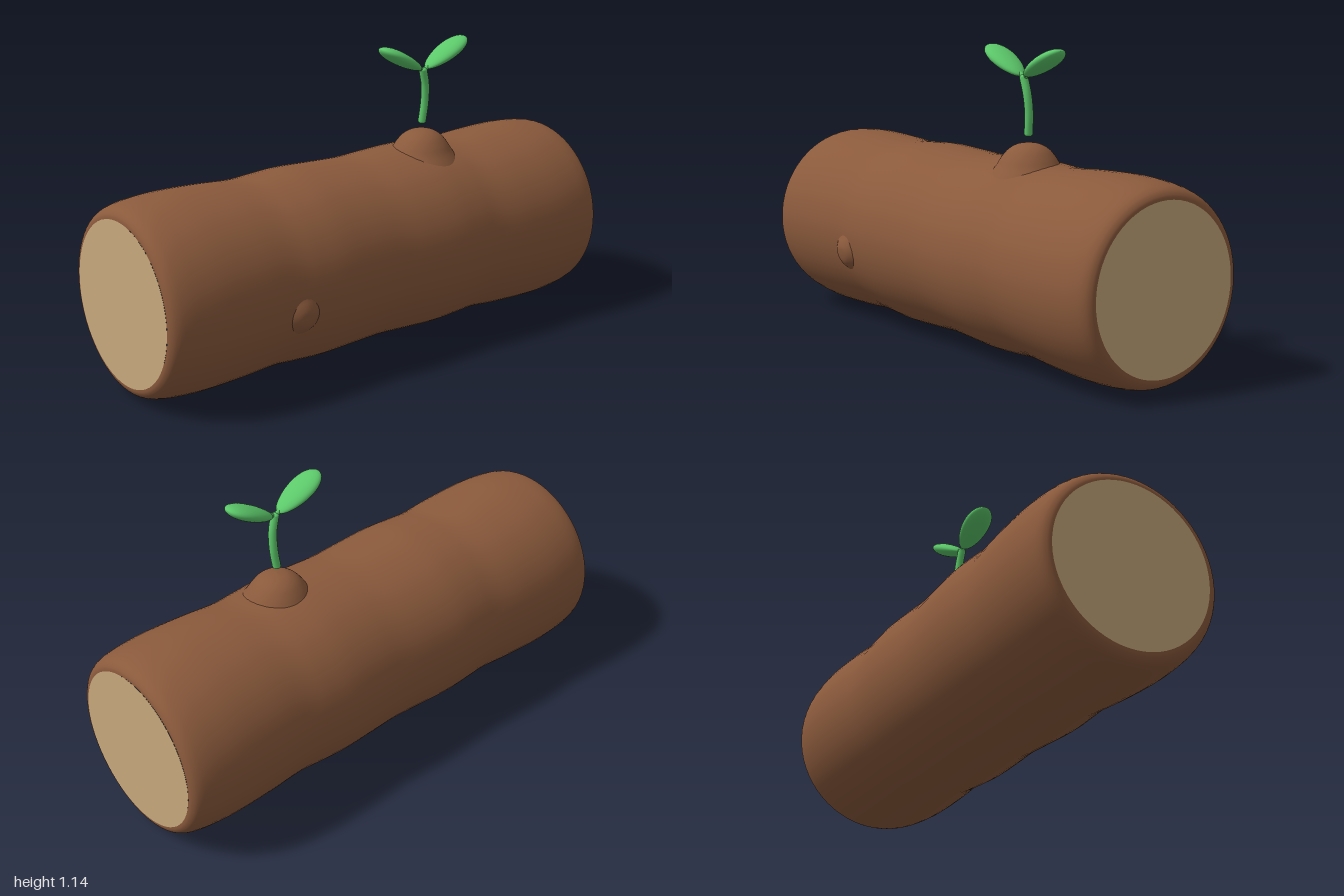
import * as THREE from 'three';

const bark = new THREE.MeshStandardMaterial({ name: 'bark brown', color: 0x8b5a3c });
const wood = new THREE.MeshStandardMaterial({ name: 'cut wood tan', color: 0xc8aa7d });
const green = new THREE.MeshStandardMaterial({ name: 'sprout green', color: 0x5cc86a });

const v2 = (list) => list.map(([x, y]) => new THREE.Vector2(x, y));
const smoothProfile = (list, n) => new THREE.SplineCurve(v2(list)).getPoints(n);

function add(parent, name, geometry, material) {
  const mesh = new THREE.Mesh(geometry, material);
  mesh.name = name;
  parent.add(mesh);
  return mesh;
}

function tube(points, radius) {
  const curve = new THREE.CatmullRomCurve3(points.map((p) => new THREE.Vector3(...p)));
  return new THREE.TubeGeometry(curve, 16, radius, 12);
}

// Leaf along +x from its base at the origin, narrower towards the base
function leafGeometry() {
  const g = new THREE.SphereGeometry(1, 28, 20).rotateZ(Math.PI / 2);
  const p = g.attributes.position;
  for (let i = 0; i < p.count; i++) {
    const x = p.getX(i);
    const taper = 1 + 0.16 * x;
    p.setXYZ(i, (x + 1) * 0.108, p.getY(i) * 0.026 * taper, p.getZ(i) * 0.056 * taper);
  }
  g.computeVertexNormals();
  return g;
}

export function createModel() {
  const model = new THREE.Group();
  model.name = 'logWithSprout';
  const axisY = 0.37;

  // Wavy bark, turned around the x axis
  const half = [[0.302, 0.997], [0.318, 0.994], [0.335, 0.98], [0.348, 0.95], [0.358, 0.89],
    [0.364, 0.78], [0.359, 0.62], [0.35, 0.48], [0.355, 0.38], [0.36, 0.27], [0.355, 0.13]];
  const profile = [...half.map(([r, x]) => [r, -x]), [0.35, 0.01], ...half.slice().reverse()];
  const log = add(model, 'barkLog', new THREE.LatheGeometry(smoothProfile(profile, 110), 64), bark);
  log.rotation.z = -Math.PI / 2;
  log.position.y = axisY;

  // Cut ends
  for (const side of [1, -1]) {
    const end = add(model, side > 0 ? 'leftCutEnd' : 'rightCutEnd', new THREE.CircleGeometry(0.303, 64), wood);
    end.rotation.y = side * Math.PI / 2;
    end.position.set(side * 0.998, axisY, 0);
  }

  // Domed branch stub under the sprout
  const stub = [[0.16, 0.655], [0.135, 0.69], [0.117, 0.715], [0.098, 0.745],
    [0.073, 0.773], [0.04, 0.791], [0, 0.797]];
  add(model, 'branchStub', new THREE.LatheGeometry(smoothProfile(stub, 24), 40), bark).position.set(0.315, 0, 0.04);

  // Small knot low on the front
  const knotProfile = [[0.1, -0.025], [0.07, -0.005], [0.05, 0.01], [0.028, 0.021], [0, 0.024]];
  const knot = add(model, 'barkKnot', new THREE.LatheGeometry(smoothProfile(knotProfile, 16), 28), bark);
  const out = new THREE.Vector3(0, -0.2, 1).normalize();
  knot.quaternion.setFromUnitVectors(new THREE.Vector3(0, 1, 0), out);
  knot.position.set(-0.46, axisY, 0).addScaledVector(out, 0.348);

  // Sprout: curved stem with rounded ends, two stalks and two leaves
  const sprout = new THREE.Group();
  sprout.name = 'sprout';
  model.add(sprout);
  const stem = [[0.315, 0.828, 0.042], [0.323, 0.9, 0.046], [0.32, 0.97, 0.052], [0.305, 1.03, 0.056]];
  add(sprout, 'stem', tube(stem, 0.016), green);
  for (const [name, at] of [['stemFoot', stem[0]], ['stemTip', stem[3]]]) {
    const ball = add(sprout, name, new THREE.SphereGeometry(0.016, 16, 12), green);
    ball.scale.y = 0.7;
    ball.position.set(...at);
  }
  const leaf = leafGeometry();
  for (const side of [1, -1]) {
    const label = side > 0 ? 'left' : 'right';
    const baseX = 0.306 + side * 0.014;
    add(sprout, label + 'Stalk', tube([[0.305, 1.022, 0.056],
      [baseX, 1.037, 0.056], [baseX + side * 0.025, 1.05, 0.056]], 0.009), green);
    const blade = add(sprout, label + 'Leaf', leaf, green);
    blade.position.set(baseX, 1.036, 0.056);
    blade.rotation.set(0, side > 0 ? 0 : Math.PI, 0.48);
  }
  return model;
}
